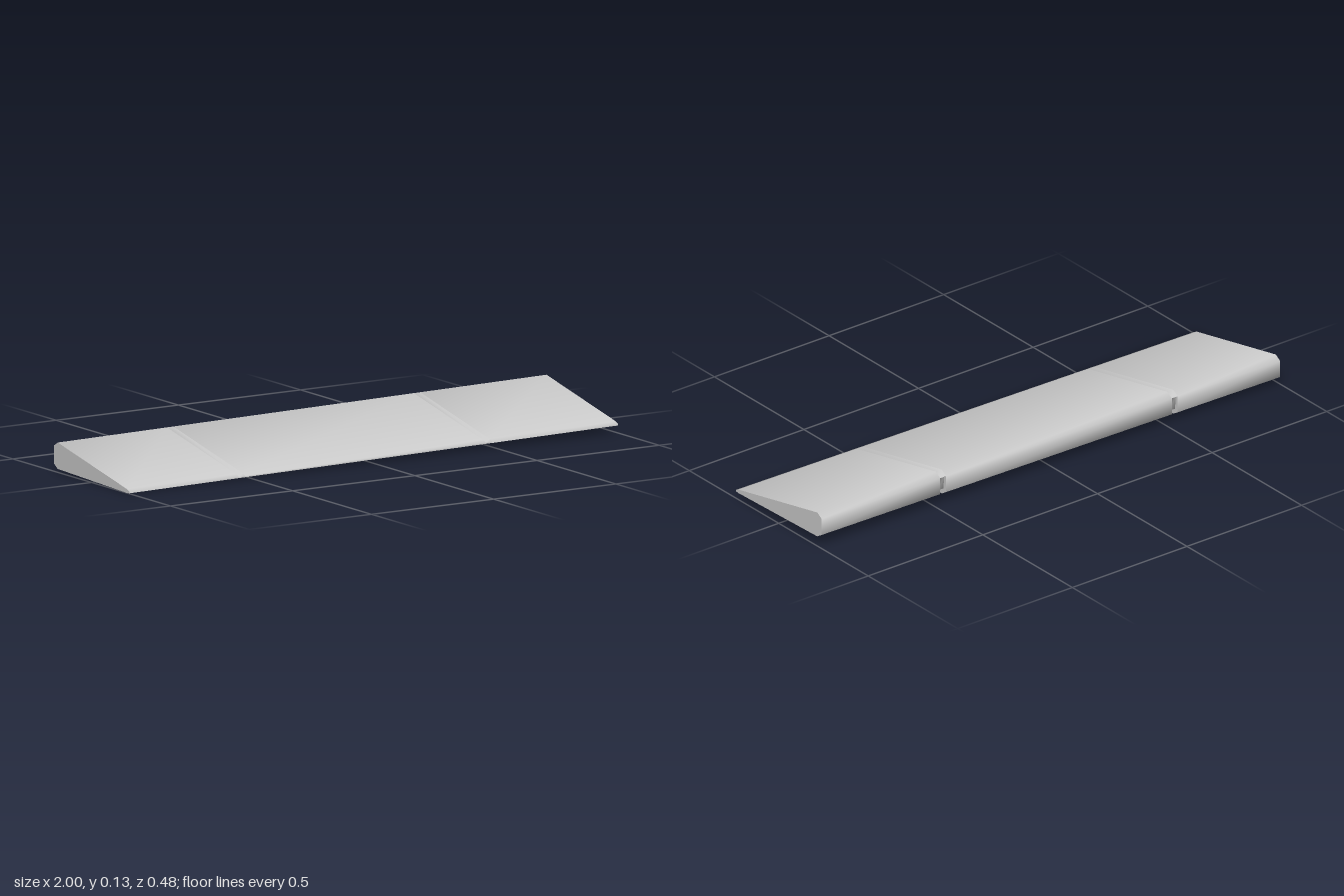
import * as THREE from 'three';
import { toCreasedNormals } from 'three/addons/utils/BufferGeometryUtils.js';

const material = new THREE.MeshStandardMaterial({ color: 0xcccccc });

// Profile points are [z, y], measured at the middle of the span
const upper = [[0.24, 0.014], [0.24, 0.019], [0.225, 0.026], [-0.215, 0.117], [-0.24, 0.102]];
const fullLower = [[-0.24, 0.04], [-0.215, 0.0245], [0.225, 0.0125]];
const slotLower = [[-0.228, 0.094], [-0.225, 0.048], [-0.205, 0.039], [-0.085, 0.034],
  [-0.08, 0.0208], [0.225, 0.0125]];

// Extrudes a profile from x0 to x1 and tilts it gently upward toward +x
function spanSection(name, lower, x0, x1) {
  const shape = new THREE.Shape([...upper, ...lower].map(([z, y]) => new THREE.Vector2(-z, y)));
  let geometry = new THREE.ExtrudeGeometry(shape, { depth: x1 - x0, bevelEnabled: false });
  geometry.rotateY(Math.PI / 2).translate(x0, 0, 0);
  const p = geometry.attributes.position;
  for (let i = 0; i < p.count; i++) p.setY(i, p.getY(i) + 0.0125 * p.getX(i));
  geometry = toCreasedNormals(geometry, 1.15);
  const mesh = new THREE.Mesh(geometry, material);
  mesh.name = name;
  return mesh;
}

export function createModel() {
  const model = new THREE.Group();
  model.name = 'taperedFlap';

  // Solid panels alternate with narrow slots cut in the rear and underside
  const slotCentres = [-0.54, 0.47];
  const halfWidth = 0.013;
  let start = -1;
  slotCentres.forEach((x, i) => {
    model.add(spanSection(`panel${i + 1}`, fullLower, start, x - halfWidth));
    model.add(spanSection(`hingeSlot${i + 1}`, slotLower, x - halfWidth, x + halfWidth));
    start = x + halfWidth;
  });
  model.add(spanSection('panel3', fullLower, start, 1));
  return model;
}
